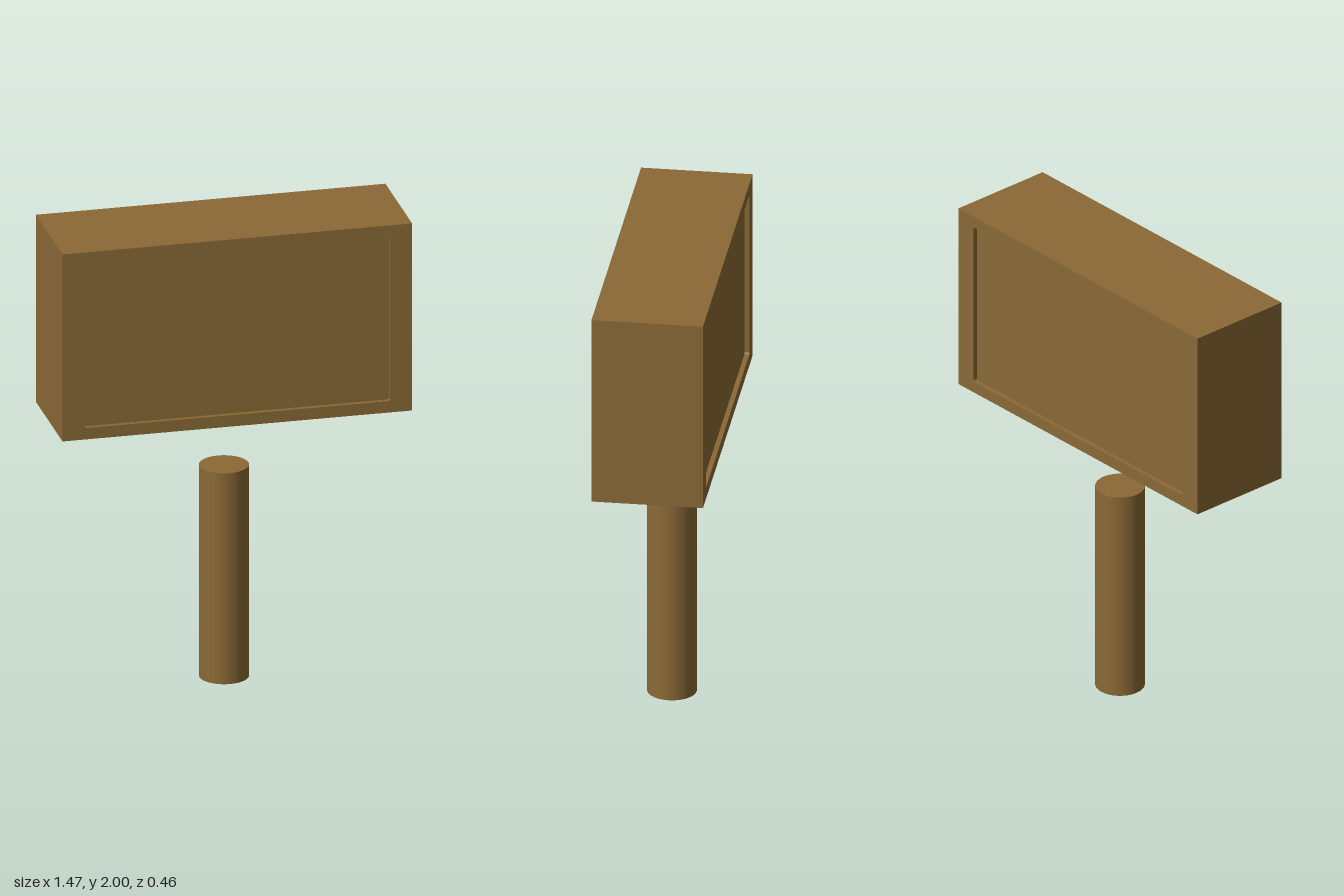
import * as THREE from 'three';

const W = 1.47, H = 0.82, D = 0.46, RECESS = 0.02, BOTTOM = 1.18;

// Adds a rounded rectangle, centred on the origin, to a path
function roundedRect(path, w, h, r) {
  const x = w / 2, y = h / 2;
  path.moveTo(-x + r, -y);
  path.lineTo(x - r, -y);
  path.quadraticCurveTo(x, -y, x, -y + r);
  path.lineTo(x, y - r);
  path.quadraticCurveTo(x, y, x - r, y);
  path.lineTo(-x + r, y);
  path.quadraticCurveTo(-x, y, -x, y - r);
  path.lineTo(-x, -y + r);
  path.quadraticCurveTo(-x, -y, -x + r, -y);
  return path;
}

export function createModel() {
  const model = new THREE.Group();
  const wood = new THREE.MeshStandardMaterial({ color: 0x8b6936 });
  const red = new THREE.MeshStandardMaterial({ color: 0xc80c0c });

  const add = (parent, name, geometry, material, x, y, z) => {
    const mesh = new THREE.Mesh(geometry, material);
    mesh.name = name;
    mesh.position.set(x, y, z);
    parent.add(mesh);
    return mesh;
  };

  // Head: an outer shell with a shallow panel sunk into the front and back
  const head = new THREE.Group();
  head.name = 'head';
  model.add(head);
  const outline = new THREE.Shape();
  outline.moveTo(-W / 2, -H / 2);
  outline.lineTo(W / 2, -H / 2);
  outline.lineTo(W / 2, H / 2);
  outline.lineTo(-W / 2, H / 2);
  outline.closePath();
  outline.holes.push(roundedRect(new THREE.Path(), 1.285, 0.72, 0.012));
  const shell = new THREE.ExtrudeGeometry(outline, { depth: D, bevelEnabled: false, curveSegments: 4 });
  shell.translate(0, 0, -D / 2);
  const midY = BOTTOM + H / 2;
  add(head, 'headShell', shell, wood, 0, midY, 0);
  add(head, 'sunkenPanels', new THREE.BoxGeometry(1.3, 0.735, D - 2 * RECESS), wood, 0, midY, 0);

  // Row of small raised blocks under the head: [centre x, width]
  const blocks = [
    [-0.56, 0.12], [-0.395, 0.03], [-0.215, 0.03], [-0.16, 0.03], [0.008, 0.026],
    [0.182, 0.1], [0.37, 0.13], [0.482, 0.03], [0.612, 0.034],
  ];
  const row = new THREE.Group();
  row.name = 'undersideBlocks';
  model.add(row);
  for (const [x, w] of blocks) {
    add(row, 'undersideBlock', new THREE.BoxGeometry(w, 0.014, 0.06), red, x, BOTTOM - 0.001, 0.094);
  }

  // Separate round handle below the head
  add(model, 'handle', new THREE.CylinderGeometry(0.102, 0.102, 0.925, 48), wood, 0, 0.4625, 0);

  return model;
}
